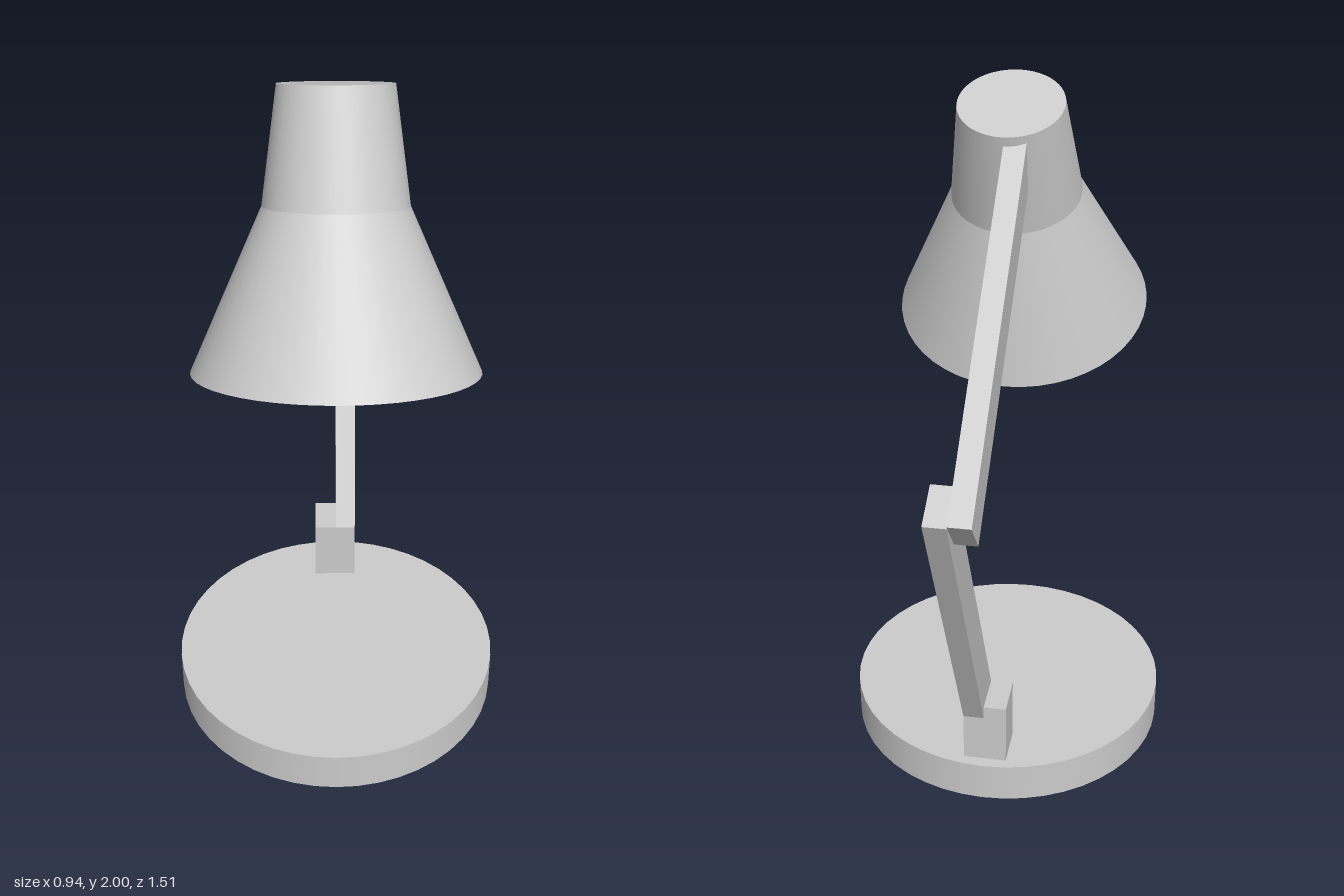
import * as THREE from 'three';
import { toCreasedNormals } from 'three/addons/utils/BufferGeometryUtils.js';

const material = new THREE.MeshStandardMaterial({ color: 0xcccccc });

function part(name, geometry, x, y, z) {
  const mesh = new THREE.Mesh(geometry, material);
  mesh.name = name;
  mesh.position.set(x, y, z);
  return mesh;
}

// Flat bar from a side outline of [z, y] corners, spanning x0 to x1
function bar(name, outline, x0, x1) {
  const shape = new THREE.Shape(outline.map(([z, y]) => new THREE.Vector2(z, y)));
  const geometry = new THREE.ExtrudeGeometry(shape, { depth: x1 - x0, bevelEnabled: false });
  geometry.rotateY(-Math.PI / 2);
  return part(name, geometry, x1, 0, 0);
}

export function createModel() {
  const lamp = new THREE.Group();
  lamp.name = 'deskLamp';

  // Round base and the block that holds the arm
  lamp.add(part('base', new THREE.CylinderGeometry(0.472, 0.472, 0.12, 48), 0, 0.06, 0.147));
  lamp.add(part('post', new THREE.BoxGeometry(0.125, 0.19, 0.125), -0.0025, 0.215, -0.2275));

  // Two arms lying side by side at the elbow
  lamp.add(bar('lowerArm', [
    [-0.165, 0.31], [-0.65, 1.265], [-0.755, 1.21], [-0.29, 0.27], [-0.29, 0.31],
  ], 0, 0.06));
  lamp.add(bar('upperArm', [
    [-0.755, 1.215], [-0.672, 1.115], [0.088, 1.748], [0.062, 1.89],
  ], -0.06, 0));

  // Hollow shade: inner wall downwards, rim, then outer wall up to the closed top
  const profile = [
    [0, -0.04], [0.12, -0.04], [0.156, -0.293], [0.336, -0.704],
    [0.363, -0.704], [0.182, -0.293], [0.144, 0], [0, 0],
  ].map(([r, y]) => new THREE.Vector2(r, y));
  const shade = part('shade', toCreasedNormals(new THREE.LatheGeometry(profile, 48), 0.2), 0, 1.95, 0.17);
  shade.rotation.x = -0.36;
  lamp.add(shade);

  return lamp;
}
